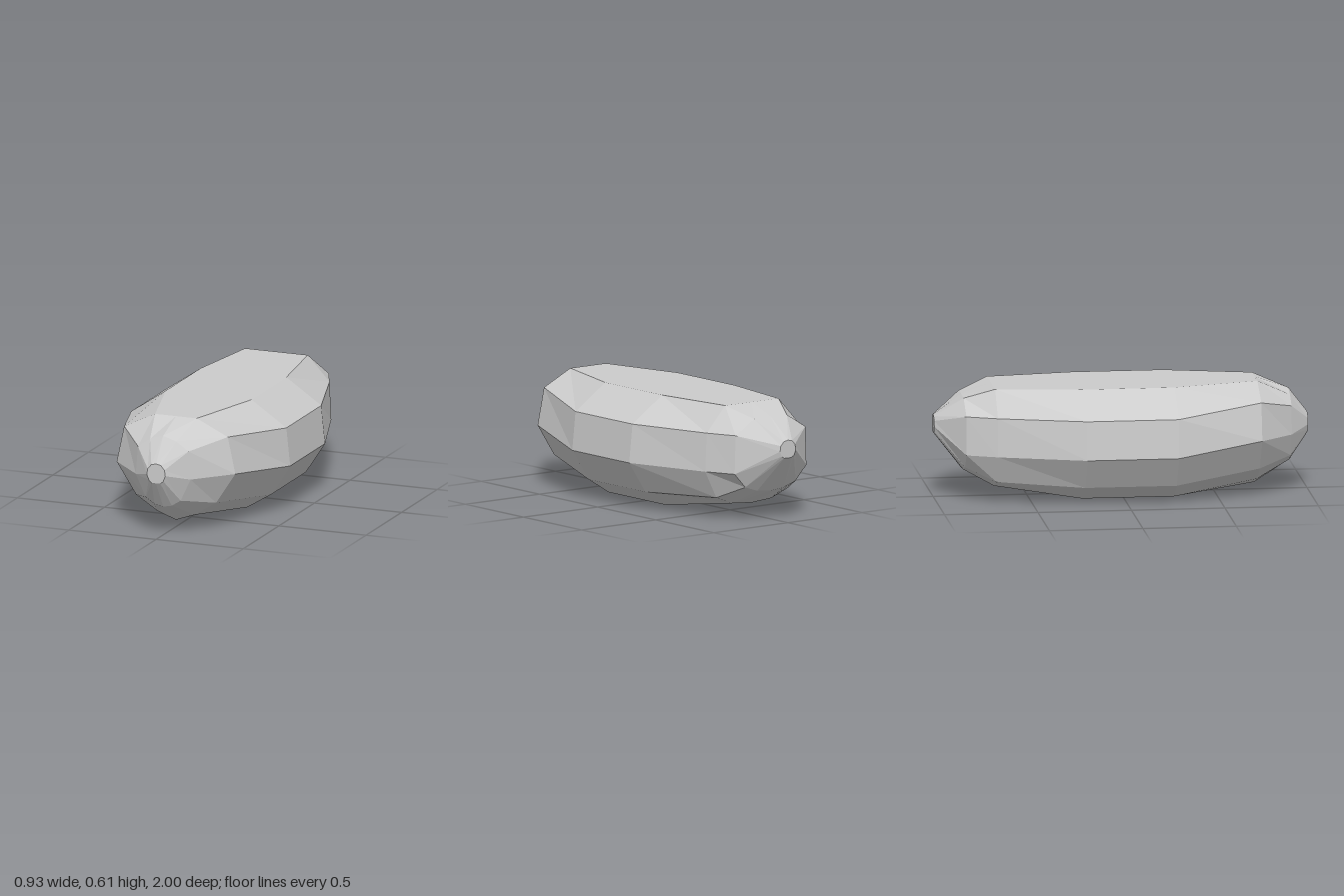
import * as THREE from 'three';

// Half cross-sections from front to back: z, then [x, y] from top centre down the left side
const SECTIONS = [
  { z: 1.0, half: [[0, 0.417], [0.027, 0.411], [0.048, 0.387], [0.053, 0.355], [0.041, 0.325], [0.025, 0.311], [0, 0.31]] },
  { z: 0.9, half: [[0, 0.547], [0.075, 0.523], [0.145, 0.475], [0.157, 0.322], [0.1, 0.2], [0.05, 0.168], [0, 0.157]] },
  { z: 0.72, half: [[0, 0.61], [0.12, 0.61], [0.297, 0.525], [0.34, 0.326], [0.23, 0.157], [0.107, 0.078], [0, 0.04]] },
  { z: 0.26, half: [[0, 0.61], [0.245, 0.61], [0.445, 0.475], [0.467, 0.268], [0.358, 0.1], [0.222, 0.016], [0, 0.002]] },
  { z: -0.23, half: [[0, 0.61], [0.245, 0.61], [0.445, 0.475], [0.467, 0.268], [0.358, 0.1], [0.222, 0.016], [0, 0.002]] },
  { z: -0.69, half: [[0, 0.61], [0.18, 0.61], [0.305, 0.475], [0.315, 0.268], [0.24, 0.12], [0.13, 0.078], [0, 0.068]] },
  { z: -0.85, half: [[0, 0.555], [0.11, 0.552], [0.235, 0.475], [0.242, 0.268], [0.17, 0.19], [0.09, 0.163], [0, 0.155]] },
  { z: -1.0, half: [[0, 0.447], [0.027, 0.442], [0.048, 0.42], [0.053, 0.39], [0.041, 0.362], [0.025, 0.352], [0, 0.35]] },
];

// Mirror a half section into a closed ring
function fullRing({ z, half }) {
  const mirrored = half.slice(1, -1).reverse().map(([x, y]) => [-x, y]);
  return [...half, ...mirrored].map(([x, y]) => [x, y, z]);
}

// Loft the rings and close both ends with flat caps
function loftGeometry(rings) {
  const n = rings[0].length;
  const last = rings.length - 1;
  const positions = rings.flat(2);
  const indices = [];
  for (let i = 0; i < last; i++) {
    for (let j = 0; j < n; j++) {
      const a = i * n + j;
      const b = i * n + (j + 1) % n;
      indices.push(a, b, b + n, a, b + n, a + n);
    }
  }
  for (let j = 1; j < n - 1; j++) {
    indices.push(0, j + 1, j);
    indices.push(last * n, last * n + j, last * n + j + 1);
  }
  const geometry = new THREE.BufferGeometry();
  geometry.setAttribute('position', new THREE.Float32BufferAttribute(positions, 3));
  geometry.setIndex(indices);
  const faceted = geometry.toNonIndexed();
  faceted.computeVertexNormals();
  return faceted;
}

export function createModel() {
  const group = new THREE.Group();
  group.name = 'facetedPod';
  const material = new THREE.MeshStandardMaterial({ color: 0xcccccc, flatShading: true });

  // Faceted body with a flat top and blunt tips
  const body = new THREE.Mesh(loftGeometry(SECTIONS.map(fullRing)), material);
  body.name = 'body';
  group.add(body);
  return group;
}
